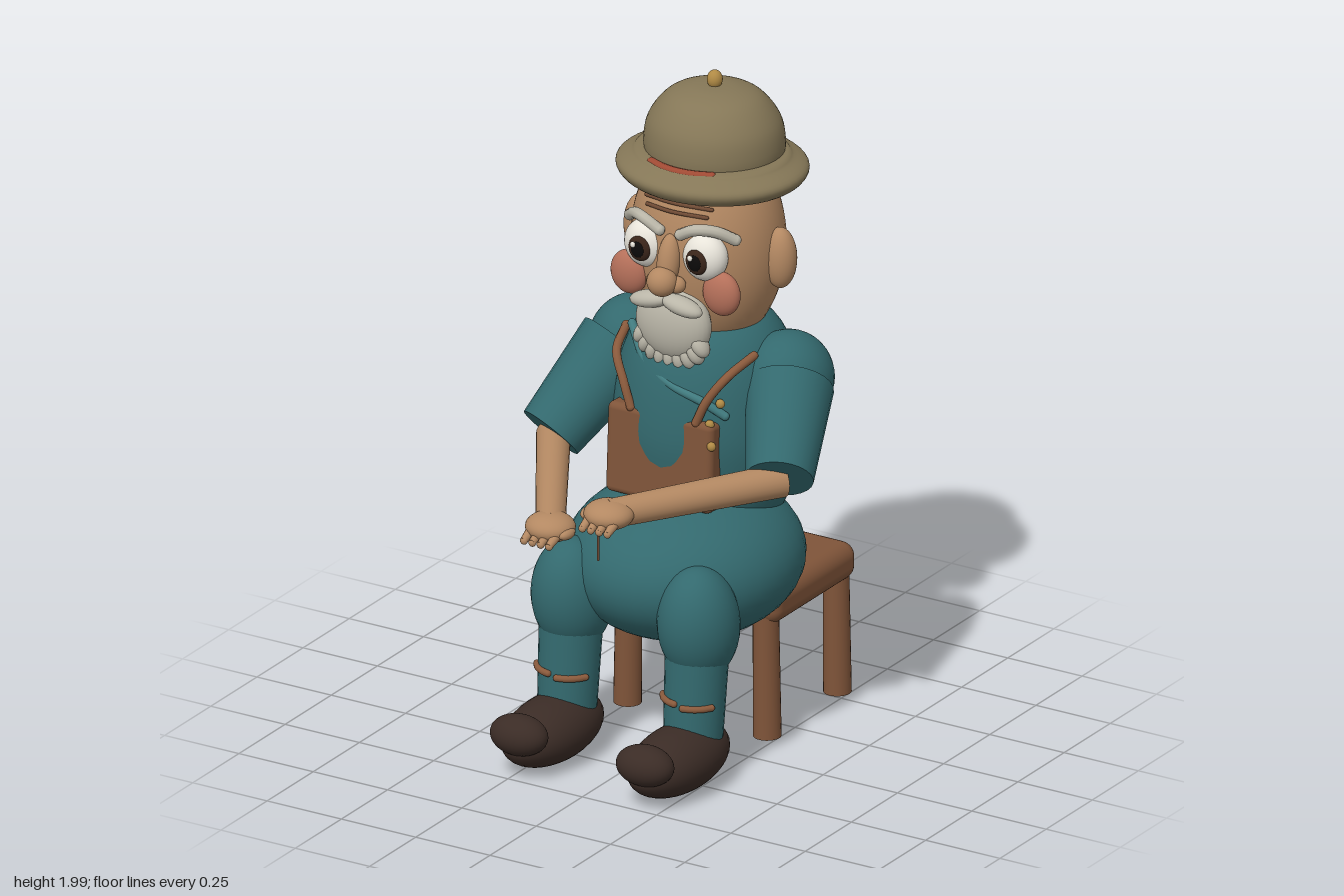
import * as THREE from 'three';
import { RoundedBoxGeometry } from 'three/addons/geometries/RoundedBoxGeometry.js';

const mat = (color) => new THREE.MeshStandardMaterial({ color });
const teal = mat(0x33696e), tealLight = mat(0x417b7f), skin = mat(0xb38862), blush = mat(0xb5705a);
const felt = mat(0x857757), wood = mat(0x7f5439), shoeBrown = mat(0x3b2c26), hair = mat(0xbab6a8);
const white = mat(0xe8e4da), iris = mat(0x3a251a), black = mat(0x0c0a0a), gold = mat(0xb08a45);
const rust = mat(0xa04a34), crease = mat(0x6e4a34), strapBrown = mat(0x8a5a3c);

const V = (p) => new THREE.Vector3(...p);

export function createModel() {
  const root = new THREE.Group();
  root.name = 'seatedOldMan';
  root.position.x = -0.01;

  const add = (name, geo, material, pos = [0, 0, 0]) => {
    const m = new THREE.Mesh(geo, material);
    m.name = name;
    m.position.set(...pos);
    root.add(m);
    return m;
  };
  const ball = (name, material, pos, radii, seg = 32) => {
    const m = add(name, new THREE.SphereGeometry(1, seg, Math.round(seg * 0.7)), material, pos);
    m.scale.set(...radii);
    return m;
  };
  // cylinder between two points
  const rod = (name, material, a, b, ra, rb, seg = 24) => {
    const d = V(b).sub(V(a));
    const m = add(name, new THREE.CylinderGeometry(rb, ra, d.length(), seg), material);
    m.position.copy(V(a).add(V(b)).multiplyScalar(0.5));
    m.quaternion.setFromUnitVectors(new THREE.Vector3(0, 1, 0), d.normalize());
    return m;
  };
  // rounded cord through a few points
  const cord = (name, material, pts, r) => {
    add(name, new THREE.TubeGeometry(new THREE.CatmullRomCurve3(pts.map(V)), 24, r, 10), material);
    for (const p of [pts[0], pts[pts.length - 1]]) ball(name + 'End', material, p, [r, r, r], 10);
  };
  // turned shape with a smoothed profile of [radius, y]
  const turned = (name, material, profile, pos, sx, sz) => {
    const curve = new THREE.SplineCurve(profile.map(([r, y]) => new THREE.Vector2(r, y)));
    const m = add(name, new THREE.LatheGeometry(curve.getPoints(28).map((p) => p.set(Math.max(0, p.x), p.y)), 48), material, pos);
    m.scale.set(sx, 1, sz);
    return m;
  };

  // stool
  add('stoolSeat', new RoundedBoxGeometry(0.57, 0.115, 0.46, 4, 0.045), wood, [0, 0.428, -0.333]);
  for (const x of [-0.235, 0.235]) for (const z of [-0.14, -0.52])
    rod('stoolLeg', wood, [x, 0.02, z], [x * 0.98, 0.4, z], 0.041, 0.038);

  // body
  ball('hips', teal, [0, 0.56, -0.07], [0.342, 0.23, 0.367], 40);
  turned('torso', teal, [[0, 0.62], [0.17, 0.64], [0.235, 0.72], [0.272, 0.88], [0.275, 1.0], [0.25, 1.14], [0.2, 1.24], [0.12, 1.29], [0, 1.295]],
    [0, 0, -0.2], 1, 0.965);

  // bib, straps, shirt placket and buttons
  const bib = add('bib', new RoundedBoxGeometry(0.355, 0.275, 0.07, 3, 0.02), wood, [-0.01, 0.895, 0.025]);
  bib.rotation.x = -0.05;
  for (const s of [-1, 1]) cord('strap', strapBrown,
    [[s * 0.11, 1.03, 0.045], [s * 0.14, 1.1, 0.035], [s * 0.185, 1.17, 0], [s * 0.215, 1.21, -0.1]], 0.013);
  cord('placket', tealLight, [[-0.17, 1.24, -0.06], [-0.09, 1.17, 0], [0.02, 1.125, 0.035], [0.12, 1.09, 0.025], [0.18, 1.05, 0]], 0.013);
  for (const [x, y, z] of [[0.17, 1.09, 0.01], [0.15, 1.03, 0.035], [0.165, 0.97, 0.05]])
    ball('button', gold, [x, y, z], [0.014, 0.014, 0.012], 14);

  // arms, the two held at different heights
  for (const [s, cuffY, handX, handY, handZ] of [[-1, 0.885, -0.125, 0.805, 0.455], [1, 0.915, 0.087, 0.9, 0.48]]) {
    const cuff = [s * 0.385, cuffY, 0.035];
    ball('shoulder', teal, [s * 0.258, 1.11, -0.215], [0.132, 0.14, 0.14]);
    rod('sleeve', teal, [s * 0.285, 1.1, -0.18], cuff, 0.128, 0.098);
    rod('forearm', skin, [s * 0.385, cuffY - 0.01, 0.02], [handX, handY, handZ], 0.05, 0.043);
    ball('hand', skin, [handX, handY, handZ], [0.074, 0.042, 0.07]);
    for (let i = 0; i < 4; i++) {
      const x = handX + (i - 1.5) * 0.028;
      rod('finger', skin, [x, handY - 0.008, handZ + 0.035], [x, handY - 0.027, handZ + 0.078], 0.015, 0.011, 12);
      ball('fingertip', skin, [x, handY - 0.027, handZ + 0.076], [0.012, 0.012, 0.01], 12);
    }
    ball('thumb', skin, [handX - s * 0.06, handY - 0.005, handZ + 0.01], [0.022, 0.018, 0.035], 16);
  }
  rod('needle', crease, [0.085, 0.775, 0.535], [0.085, 0.9, 0.535], 0.004, 0.004, 8);

  // legs and shoes
  for (const s of [-1, 1]) {
    const x = s * 0.212;
    const thigh = ball('knee', teal, [x, 0.485, 0.195], [0.118, 0.175, 0.125]);
    thigh.rotation.x = 0.1;
    rod('trouserLeg', teal, [x, 0.14, 0.225], [x, 0.5, 0.195], 0.086, 0.095);
    for (const [a, y] of [[-1.1, 0.27], [0.15, 0.262]]) {
      const pts = [0, 0.33, 0.66, 0.95].map((t) => [x + Math.sin(a + t) * 0.092, y, 0.215 + Math.cos(a + t) * 0.092]);
      cord('ankleTie', strapBrown, pts, 0.01);
    }
    ball('shoe', shoeBrown, [x, 0.105, 0.305], [0.112, 0.095, 0.215]);
    ball('shoeToe', shoeBrown, [x, 0.148, 0.485], [0.09, 0.06, 0.065]);
  }

  // head
  ball('head', skin, [0, 1.49, -0.2], [0.228, 0.33, 0.213], 48);
  for (const s of [-1, 1]) {
    ball('ear', skin, [s * 0.235, 1.48, -0.21], [0.05, 0.093, 0.046]);
    ball('cheek', blush, [s * 0.155, 1.418, -0.022], [0.06, 0.067, 0.036]);
    ball('eye', white, [s * 0.098, 1.52, -0.025], [0.07, 0.073, 0.053]);
    ball('iris', iris, [s * 0.096, 1.517, 0.018], [0.036, 0.039, 0.018], 24);
    ball('pupil', black, [s * 0.096, 1.517, 0.03], [0.022, 0.025, 0.01], 20);
    ball('eyeGlint', white, [s * 0.096 - 0.012, 1.532, 0.037], [0.009, 0.009, 0.006], 12);
    cord('eyebrow', hair, [[s * 0.035, 1.585, 0.01], [s * 0.085, 1.61, 0.01], [s * 0.135, 1.605, -0.02], [s * 0.178, 1.575, -0.06]], 0.017);
    ball('nostril', skin, [s * 0.036, 1.437, 0.03], [0.027, 0.025, 0.026], 20);
    // moustache half
    const m = ball('moustache', hair, [s * 0.053, 1.375, 0.03], [0.068, 0.026, 0.034], 24);
    m.rotation.z = -s * 0.2;
  }
  const bridge = ball('noseBridge', skin, [0, 1.5, 0.015], [0.034, 0.08, 0.035]);
  bridge.rotation.x = -0.2;
  ball('noseTip', skin, [0, 1.447, 0.052], [0.045, 0.044, 0.043]);
  for (const [y, w, z] of [[1.637, 0.1, -0.005], [1.66, 0.11, -0.016]])
    cord('foreheadCrease', crease, [[-w, y, z - 0.025], [0, y + 0.006, z], [w, y, z - 0.025]], 0.006);

  // beard with a scalloped lower edge
  ball('beard', hair, [0, 1.3, -0.012], [0.122, 0.115, 0.062]);
  for (let i = -4; i <= 4; i++) {
    const a = i * 0.3;
    ball('beardLock', hair, [Math.sin(a) * 0.102, 1.285 - Math.cos(a) * 0.09, 0], [0.024, 0.04, 0.03], 16).rotation.z = a * 0.5;
  }

  // hat
  turned('hatBrim', felt, [[0, 1.7], [0.18, 1.685], [0.25, 1.68], [0.282, 1.705], [0.28, 1.73], [0.24, 1.752], [0.2, 1.768], [0, 1.775]],
    [0, 0, -0.222], 1, 0.9);
  turned('hatCrown', felt, [[0.2, 1.73], [0.207, 1.79], [0.192, 1.86], [0.14, 1.925], [0.07, 1.952], [0, 1.957]], [0, 0, -0.233], 1, 0.95);
  cord('hatRibbon', rust, [-0.5, -0.25, 0, 0.25, 0.5].map((a) => [Math.sin(a) * 0.212, 1.757, -0.233 + Math.cos(a) * 0.204]), 0.014);
  ball('hatKnob', gold, [0, 1.973, -0.234], [0.023, 0.028, 0.023], 20);

  return root;
}
